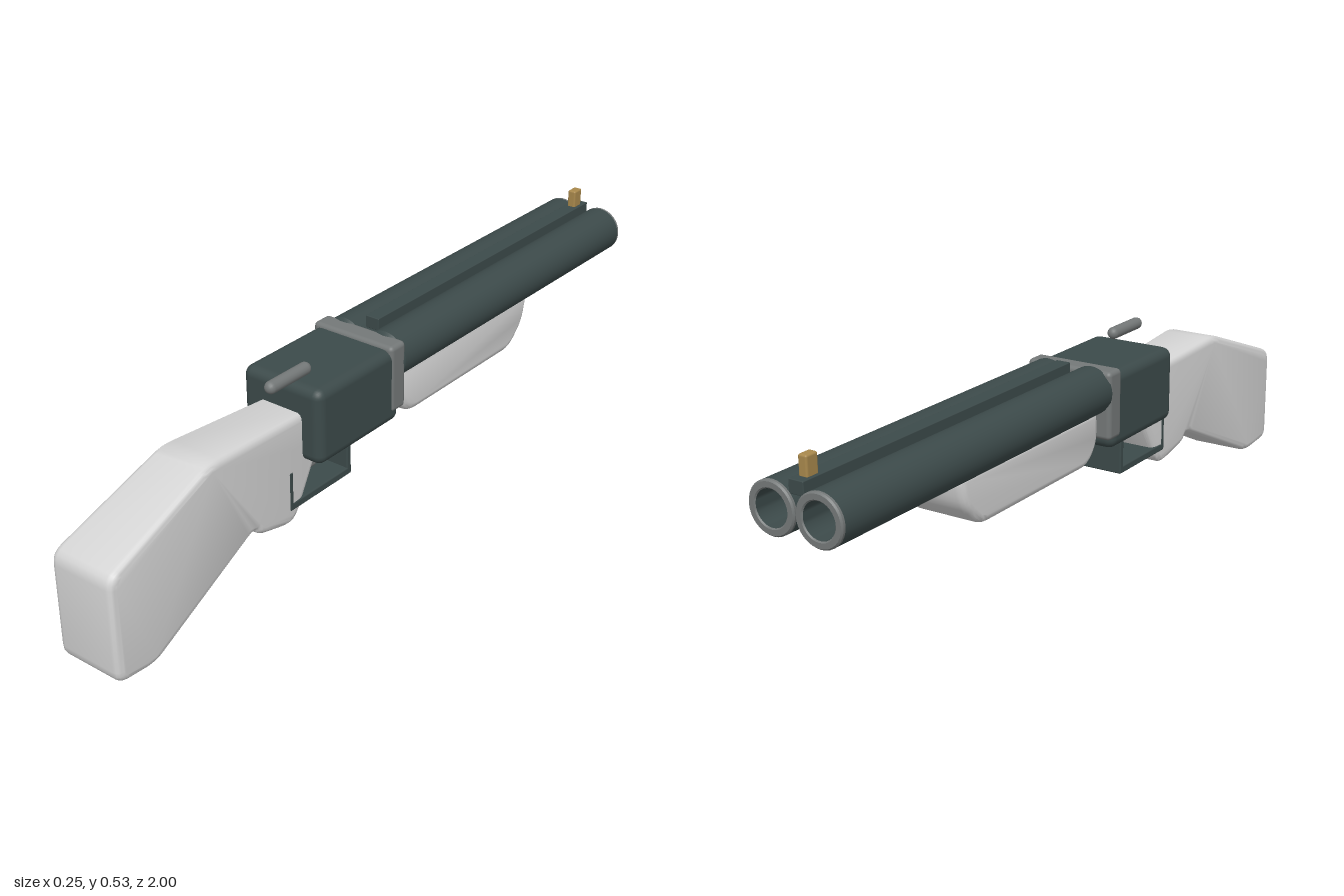
import * as THREE from 'three';
import { toCreasedNormals } from 'three/addons/utils/BufferGeometryUtils.js';
import { RoundedBoxGeometry } from 'three/addons/geometries/RoundedBoxGeometry.js';

const material = (name, color) => {
  const m = new THREE.MeshStandardMaterial({ color });
  m.name = name;
  return m;
};

// Closed outline through [z, y] points with each corner softened by a curve
function softOutline(points, soft) {
  const shape = new THREE.Shape();
  const pts = points.map(([z, y]) => new THREE.Vector2(-z, y));
  pts.forEach((p, i) => {
    const prev = pts[(i + pts.length - 1) % pts.length];
    const next = pts[(i + 1) % pts.length];
    const toward = (q) => p.clone().add(
      q.clone().sub(p).setLength(Math.min(soft, p.distanceTo(q) * 0.45)));
    const a = toward(prev), b = toward(next);
    if (i === 0) shape.moveTo(a.x, a.y); else shape.lineTo(a.x, a.y);
    shape.quadraticCurveTo(p.x, p.y, b.x, b.y);
  });
  shape.closePath();
  return shape;
}

// Side profile extruded across x with rounded edges; halfWidth varies along z
function carved(points, halfWidth, soft, bevel) {
  const geo = new THREE.ExtrudeGeometry(softOutline(points, soft), {
    depth: 2 - 2 * bevel / 0.09, curveSegments: 4,
    bevelEnabled: true, bevelThickness: bevel / 0.09,
    bevelSize: bevel, bevelOffset: -bevel, bevelSegments: 4,
  });
  geo.translate(0, 0, -1 + bevel / 0.09);
  geo.rotateY(Math.PI / 2);
  const pos = geo.attributes.position;
  for (let i = 0; i < pos.count; i++) {
    pos.setX(i, pos.getX(i) * halfWidth(pos.getZ(i)));
  }
  return toCreasedNormals(geo, 0.7);
}

export function createModel() {
  const model = new THREE.Group();
  model.name = 'doubleBarrelProp';
  const pale = material('pale stock', 0xd4d4d4);
  const dark = material('dark steel', 0x3c4a4a);
  const grey = material('grey steel', 0x747878);
  const brass = material('brass', 0xa8884c);

  const add = (name, geo, mat, x = 0, y = 0, z = 0) => {
    const mesh = new THREE.Mesh(geo, mat);
    mesh.name = name;
    mesh.position.set(x, y, z);
    model.add(mesh);
    return mesh;
  };
  // Rounded box given by its limits on each axis
  const block = (name, mat, [x0, x1], [y0, y1], [z0, z1], r) => add(name,
    new RoundedBoxGeometry(x1 - x0, y1 - y0, z1 - z0, 3, r), mat,
    (x0 + x1) / 2, (y0 + y1) / 2, (z0 + z1) / 2);
  // Turned part about the z axis; profile is [radius, distance toward -z]
  const turned = (name, mat, profile, x, y) => {
    const geo = new THREE.LatheGeometry(
      profile.map(([r, d]) => new THREE.Vector2(r, d)), 32);
    geo.rotateX(-Math.PI / 2);
    return add(name, toCreasedNormals(geo, 0.6), mat, x, y, 0);
  };

  // Stock with its grip, widening toward the butt
  add('stock', carved([
    [1, 0.287], [1, 0.014], [0.88, 0], [0.525, 0.165], [0.515, 0.138],
    [0.4, 0.108], [0.37, 0.122], [0.29, 0.26], [0.29, 0.385], [0.67, 0.408],
  ], (z) => 0.065 + (z - 0.35) * 0.043, 0.03, 0.018), pale);

  // Fore-end under the barrels
  add('foreEnd', carved([
    [0.015, 0.378], [0.015, 0.285], [-0.03, 0.235], [-0.49, 0.235],
    [-0.552, 0.295], [-0.572, 0.378],
  ], () => 0.097, 0.03, 0.02), pale);

  // Receiver and the collar joining it to the barrels
  block('receiver', dark, [-0.12, 0.12], [0.26, 0.46], [0.04, 0.35], 0.025);
  block('collar', grey, [-0.123, 0.123], [0.29, 0.47], [0.022, 0.08], 0.012);

  // Twin barrels with lighter muzzle rings
  for (const side of [-1, 1]) {
    const x = side * 0.0635, y = 0.4155;
    turned('barrel', dark, [
      [0, -0.036], [0.055, -0.036], [0.0625, -0.028], [0.0625, 0.99],
    ], x, y);
    turned('muzzleRing', grey, [
      [0.0625, 0.99], [0.0625, 0.996], [0.059, 1], [0.046, 1], [0.043, 0.997],
    ], x, y);
    turned('bore', dark, [[0.043, 0.997], [0.043, 0.4], [0, 0.4]], x, y);
  }

  // Sighting rib and front bead
  block('rib', dark, [-0.02, 0.02], [0.455, 0.488], [-0.99, 0], 0.002);
  block('bead', brass, [-0.012, 0.012], [0.484, 0.535], [-0.968, -0.932], 0.005);

  // Top lever
  const lever = new THREE.CapsuleGeometry(0.016, 0.118, 6, 16);
  lever.rotateX(Math.PI / 2);
  add('topLever', lever, grey, 0.039, 0.483, 0.365);

  // Trigger and its guard
  block('trigger', grey, [-0.015, 0.015], [0.18, 0.28], [0.235, 0.265], 0.01);
  const w = [-0.068, 0.068];
  block('guardFront', dark, w, [0.146, 0.28], [0.17, 0.186], 0.004);
  block('guardBottom', dark, w, [0.146, 0.166], [0.17, 0.402], 0.004);
  block('guardBack', dark, w, [0.146, 0.252], [0.388, 0.402], 0.004);

  return model;
}
